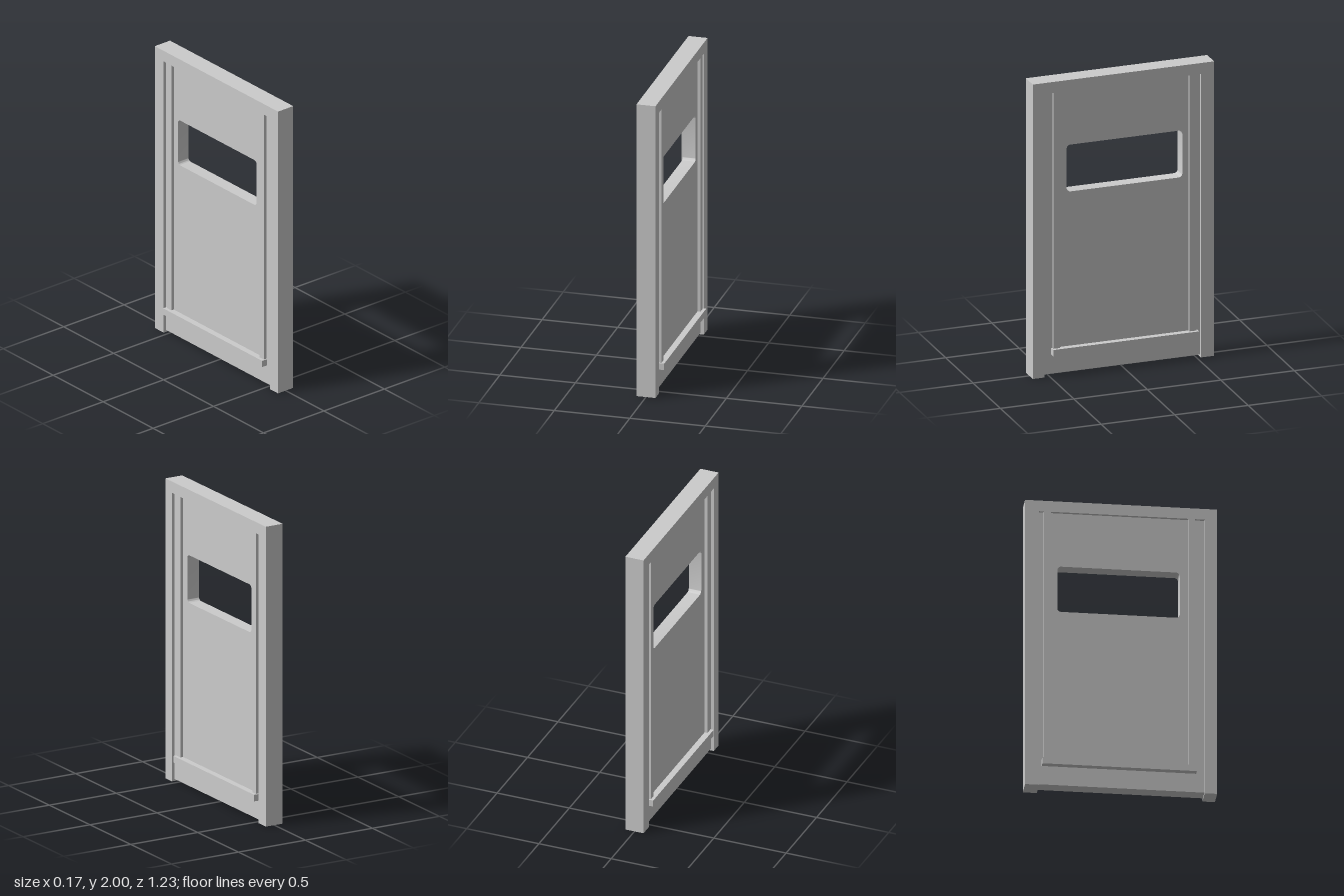
import * as THREE from 'three';
import { toCreasedNormals } from 'three/addons/utils/BufferGeometryUtils.js';

const material = new THREE.MeshStandardMaterial({ color: 0xcccccc });

const FRAME_X = 0.063;  // half thickness of the frame
const PANEL_X = 0.043;  // half thickness of the recessed panel
const BAR_X = 0.084;    // how far the cross bars stand out
const OUTER = 0.617;    // half width of the frame
const TOP = 1.925;      // top of the frame opening
const FRONT = 0.537;    // opening edge towards +z
const BACK = -0.527;    // opening edge towards -z

function addMesh(group, name, geometry) {
  const mesh = new THREE.Mesh(geometry, material);
  mesh.name = name;
  group.add(mesh);
  return mesh;
}

// Extrudes a shape drawn in (-z, y) to a slab centred on x = 0.
function slab(shape, halfThickness) {
  const geometry = new THREE.ExtrudeGeometry(shape, {
    depth: halfThickness * 2, bevelEnabled: false, curveSegments: 6,
  });
  geometry.translate(0, 0, -halfThickness);
  geometry.rotateY(Math.PI / 2);
  return toCreasedNormals(geometry, 0.6);
}

// Box given by its limits on each axis.
function block(x0, x1, y0, y1, z0, z1) {
  const geometry = new THREE.BoxGeometry(x1 - x0, y1 - y0, z1 - z0);
  return geometry.translate((x0 + x1) / 2, (y0 + y1) / 2, (z0 + z1) / 2);
}

function roundedRect(path, x0, x1, y0, y1, r) {
  path.moveTo(x0 + r, y0);
  path.lineTo(x1 - r, y0);
  path.absarc(x1 - r, y0 + r, r, -Math.PI / 2, 0);
  path.lineTo(x1, y1 - r);
  path.absarc(x1 - r, y1 - r, r, 0, Math.PI / 2);
  path.lineTo(x0 + r, y1);
  path.absarc(x0 + r, y1 - r, r, Math.PI / 2, Math.PI);
  path.lineTo(x0, y0 + r);
  path.absarc(x0 + r, y0 + r, r, Math.PI, Math.PI * 1.5);
  return path;
}

export function createModel() {
  const group = new THREE.Group();
  group.name = 'door';

  // Door frame: two jambs and a head in one piece, open at the bottom
  const frame = new THREE.Shape([
    [-OUTER, 0], [-FRONT, 0], [-FRONT, TOP], [-BACK, TOP],
    [-BACK, 0], [OUTER, 0], [OUTER, 2], [-OUTER, 2],
  ].map(([x, y]) => new THREE.Vector2(x, y)));
  addMesh(group, 'frame', slab(frame, FRAME_X));

  // Recessed panel with a rounded window opening, clear of the floor
  const panel = new THREE.Shape([
    [-FRONT, 0.013], [-BACK, 0.013], [-BACK, TOP], [-FRONT, TOP],
  ].map(([x, y]) => new THREE.Vector2(x, y)));
  panel.holes.push(roundedRect(new THREE.Path(), -0.379, 0.408, 1.234, 1.552, 0.025));
  addMesh(group, 'panel', slab(panel, PANEL_X));

  // Upright strips and cross bar, the same on both faces
  for (const side of [1, -1]) {
    const face = new THREE.Group();
    face.name = side > 0 ? 'leftTrim' : 'rightTrim';
    const mirrored = (x0, x1, ...rest) =>
      side > 0 ? block(x0, x1, ...rest) : block(-x1, -x0, ...rest);
    addMesh(face, 'frontStrip', mirrored(PANEL_X, FRAME_X, 0.16, TOP, 0.432, 0.475));
    addMesh(face, 'backStrip', mirrored(PANEL_X, FRAME_X, 0.16, TOP, -0.496, -0.451));
    addMesh(face, 'crossBar', mirrored(PANEL_X, BAR_X, 0.143, 0.187, -0.508, 0.484));
    group.add(face);
  }
  return group;
}
